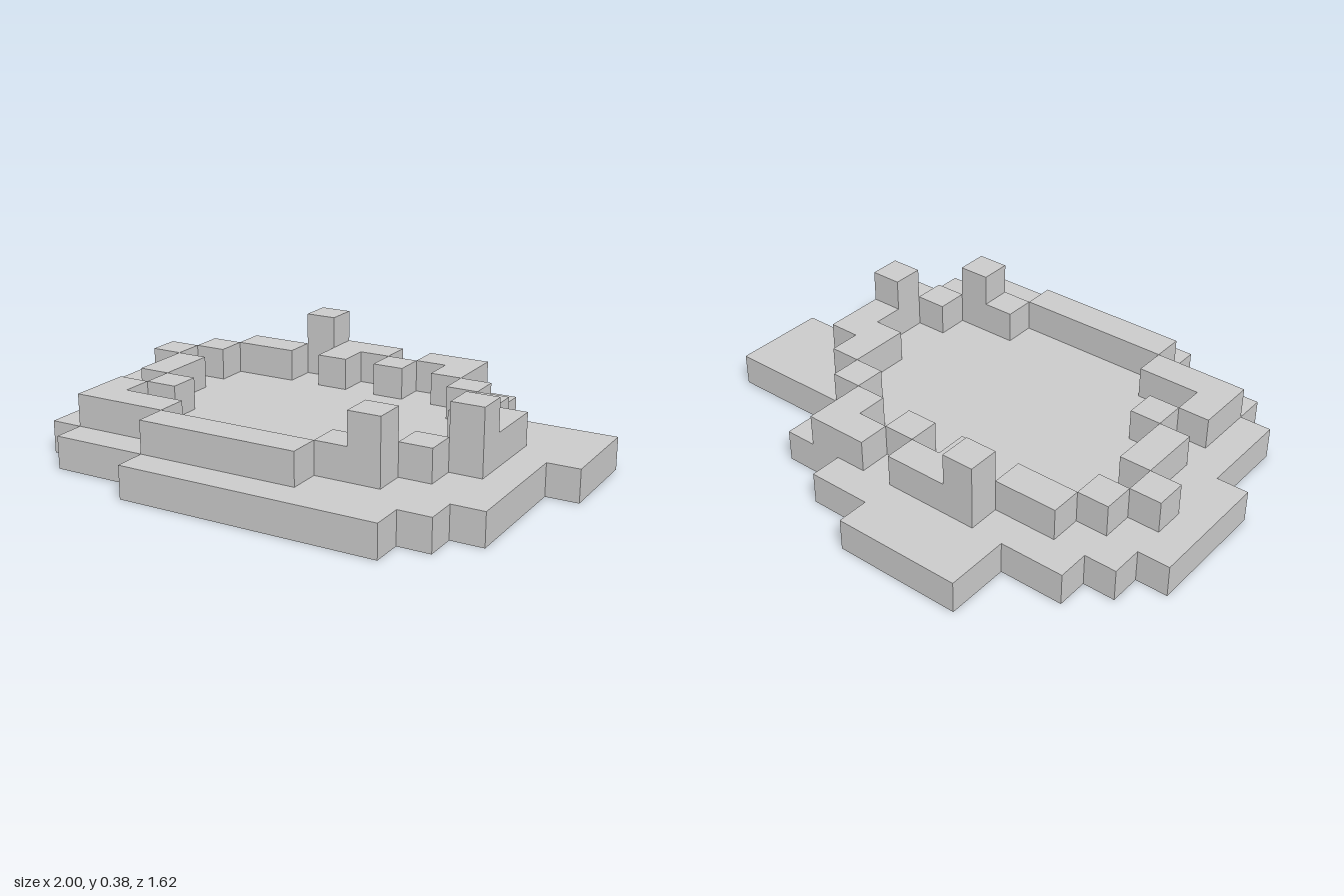
import * as THREE from 'three';

const U = 0.125; // one grid cell
const ROWS = 13;

// Base slab: [first column, end column] for each row, back to front
const baseRows = [
  [4, 8], [4, 10], [2, 12], [1, 12], [0, 16], [0, 16], [0, 16],
  [0, 15], [1, 15], [1, 15], [1, 15], [2, 14], [5, 13],
];

// Wall pieces: [column, row, columns wide, rows deep]
const backWall = [[6, 2, 2, 1], [3, 3, 2, 1], [6, 3, 1, 1], [8, 3, 1, 1], [9, 2, 2, 1], [10, 3, 1, 1]];
const rightWall = [[2, 4, 1, 1], [1, 5, 1, 1], [2, 6, 1, 2], [3, 8, 1, 1], [2, 9, 1, 1]];
const frontWall = [[2, 10, 3, 1], [5, 11, 5, 1], [10, 10, 1, 1]];
const leftWall = [[11, 4, 1, 1], [12, 5, 1, 1], [12, 6, 2, 1], [13, 7, 1, 1], [12, 9, 1, 1]];

// Tall posts: [column, row]
const posts = [[5, 2], [11, 10], [13, 8]];

const toX = (col) => (col - 8) * U;
const toZ = (row) => (row - ROWS / 2) * U;

export function createModel() {
  const model = new THREE.Group();
  const material = new THREE.MeshStandardMaterial({ color: 0xcccccc, flatShading: true });

  // Stepped slab: down the left edge of the rows, back up the right edge
  const left = [], right = [];
  baseRows.forEach(([start, end], r) => {
    for (const row of [r, r + 1]) {
      left.push(new THREE.Vector2(toX(start), -toZ(row)));
      right.push(new THREE.Vector2(toX(end), -toZ(row)));
    }
  });
  // keep only the corners of the outline
  const loop = [...left, ...right.reverse()].filter((p, i, a) => i === 0 || !p.equals(a[i - 1]));
  const corners = loop.filter((p, i) => {
    const a = loop[(i + loop.length - 1) % loop.length], b = loop[(i + 1) % loop.length];
    return Math.abs((p.x - a.x) * (b.y - p.y) - (p.y - a.y) * (b.x - p.x)) > 1e-6;
  });
  const slab = new THREE.ExtrudeGeometry(new THREE.Shape(corners), { depth: U, bevelEnabled: false });
  slab.rotateX(-Math.PI / 2);
  const base = new THREE.Mesh(slab, material);
  base.name = 'base';
  model.add(base);

  // Blocks standing on the slab
  const addBlock = (parent, name, col, row, w, d, h) => {
    const mesh = new THREE.Mesh(new THREE.BoxGeometry(w * U, h * U, d * U), material);
    mesh.position.set(toX(col + w / 2), U + (h * U) / 2, toZ(row + d / 2));
    mesh.name = name;
    parent.add(mesh);
  };

  // Ruined ring wall, one cell high
  for (const [name, blocks] of Object.entries({ backWall, rightWall, frontWall, leftWall })) {
    const wall = new THREE.Group();
    wall.name = name;
    for (const [col, row, w, d] of blocks) addBlock(wall, 'wallBlock', col, row, w, d, 1);
    model.add(wall);
  }

  // Posts, two cells high
  for (const [col, row] of posts) addBlock(model, 'post', col, row, 1, 1, 2);

  return model;
}
